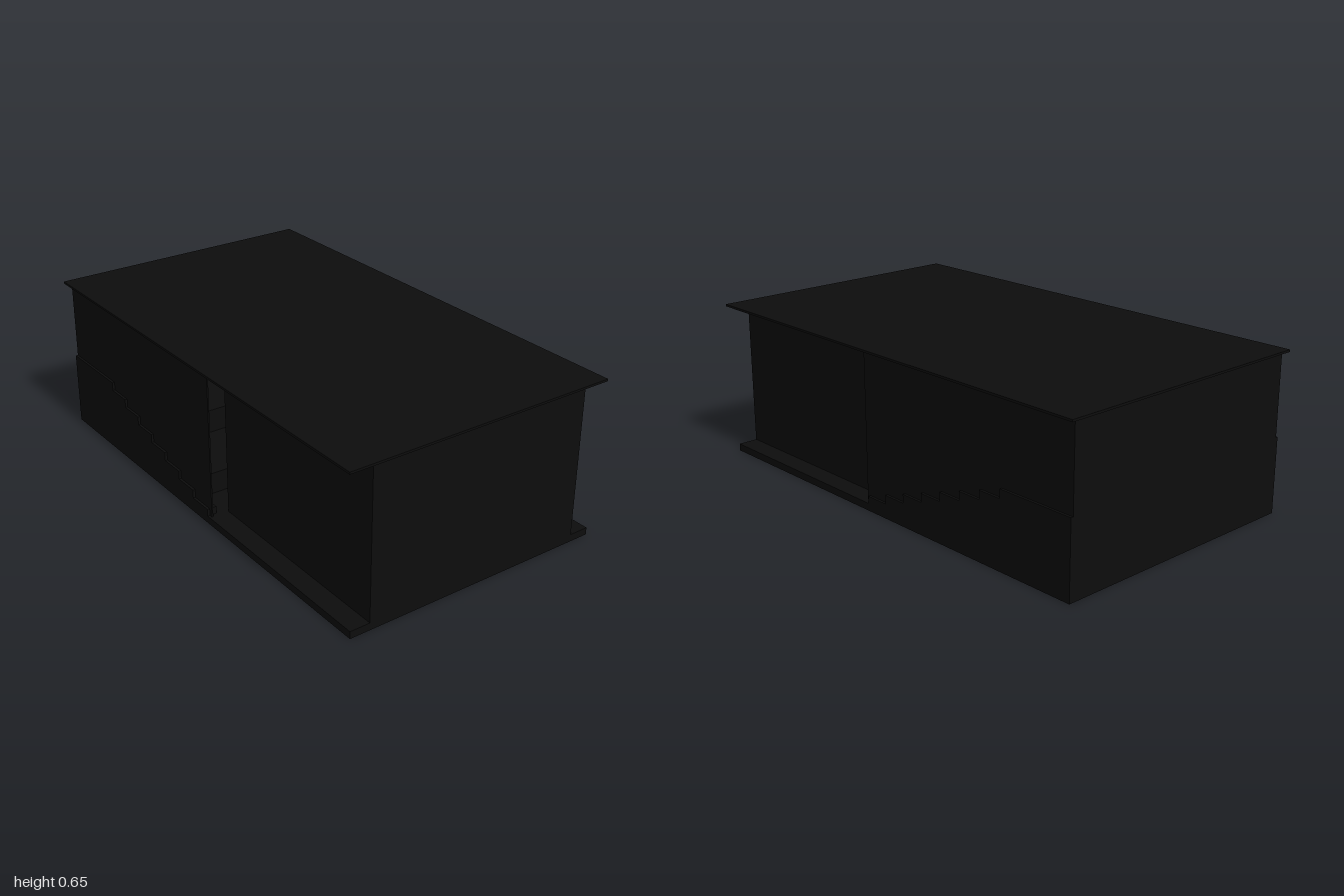
import * as THREE from 'three';

export function createModel() {
  const model = new THREE.Group();
  model.name = 'hall';
  const black = new THREE.MeshStandardMaterial({ color: 0x0d0d0d, side: THREE.DoubleSide });
  black.name = 'matte black';

  // Box given by its limits on each axis
  function block(name, x0, x1, y0, y1, z0, z1, parent = model) {
    const mesh = new THREE.Mesh(new THREE.BoxGeometry(x1 - x0, y1 - y0, z1 - z0), black);
    mesh.name = name;
    mesh.position.set((x0 + x1) / 2, (y0 + y1) / 2, (z0 + z1) / 2);
    parent.add(mesh);
    return mesh;
  }

  const T = 0.006;          // sheet thickness
  const FRONT = 0.99, BACK = -0.985;
  const WALL_TOP = 0.643;

  // Open-bottomed flight of treads and risers between x0 and x1
  function flight(name, x0, x1, treads) {
    const group = new THREE.Group();
    group.name = name;
    let below = 0.03;
    treads.forEach(([z, y], i) => {
      const end = i + 1 < treads.length ? treads[i + 1][0] : BACK;
      block('tread', x0, x1, y - T, y, end, z, group);
      block('riser', x0, x1, below - T, y, z - T, z, group);
      below = y;
    });
    model.add(group);
  }

  // Roof
  block('roof', -0.578, 0.578, WALL_TOP, 0.652, -1, 1);

  // Front floor with its rim and joists
  block('frontFloor', -0.56, 0.56, 0.022, 0.03, -0.05, FRONT);
  block('frontRim', -0.56, 0.56, 0, 0.03, FRONT - T, FRONT);
  for (let i = 0; i < 4; i++) {
    const z = 0.15 + i * 0.1;
    block('joist', -0.5, 0.5, 0.012, 0.022, z, z + 0.012);
  }

  // End walls
  block('frontWall', -0.476, 0.476, 0.03, WALL_TOP, FRONT - T, FRONT);
  block('backWall', -0.55, 0.55, 0.31, WALL_TOP, BACK, BACK + T);
  block('backPanel', -0.56, 0.56, 0, 0.31, BACK, BACK + T);

  // Wide seating tiers
  flight('seatingTiers', -0.52, 0.52, [[-0.05, 0.12], [-0.35, 0.22], [-0.65, 0.308]]);

  // Side stair positions as [front edge, height]
  const stairs = [];
  for (let i = 0; i < 8; i++) stairs.push([0.085 - i * 0.105, 0.06 + i * 0.0357]);

  // Stepped outline of the low side panels, drawn as (-z, y)
  const outline = new THREE.Shape();
  outline.moveTo(-FRONT, 0);
  outline.lineTo(-FRONT, 0.03);
  let height = 0.03;
  for (const [z, y] of stairs) {
    outline.lineTo(-z, height);
    outline.lineTo(-z, y);
    height = y;
  }
  outline.lineTo(-BACK, height);
  outline.lineTo(-BACK, 0);
  const panelGeometry = new THREE.ExtrudeGeometry(outline, { depth: T, bevelEnabled: false });
  panelGeometry.rotateY(Math.PI / 2);

  for (const side of [-1, 1]) {
    const label = side > 0 ? 'left' : 'right';
    const span = (a, b) => (side > 0 ? [a, b] : [-b, -a]);

    // Inset front wall and wider rear wall
    block(label + 'FrontWall', ...span(0.47, 0.476), 0.03, WALL_TOP, 0.1, FRONT);
    block(label + 'RearWall', ...span(0.544, 0.55), 0.03, WALL_TOP, BACK, 0.1);

    // Side stairs and their stepped panel
    flight(label + 'Stairs', ...span(0.52, 0.558), stairs);
    const panel = new THREE.Mesh(panelGeometry, black);
    panel.name = label + 'SteppedPanel';
    panel.position.x = side > 0 ? 0.56 - T : -0.56;
    model.add(panel);
  }

  return model;
}
